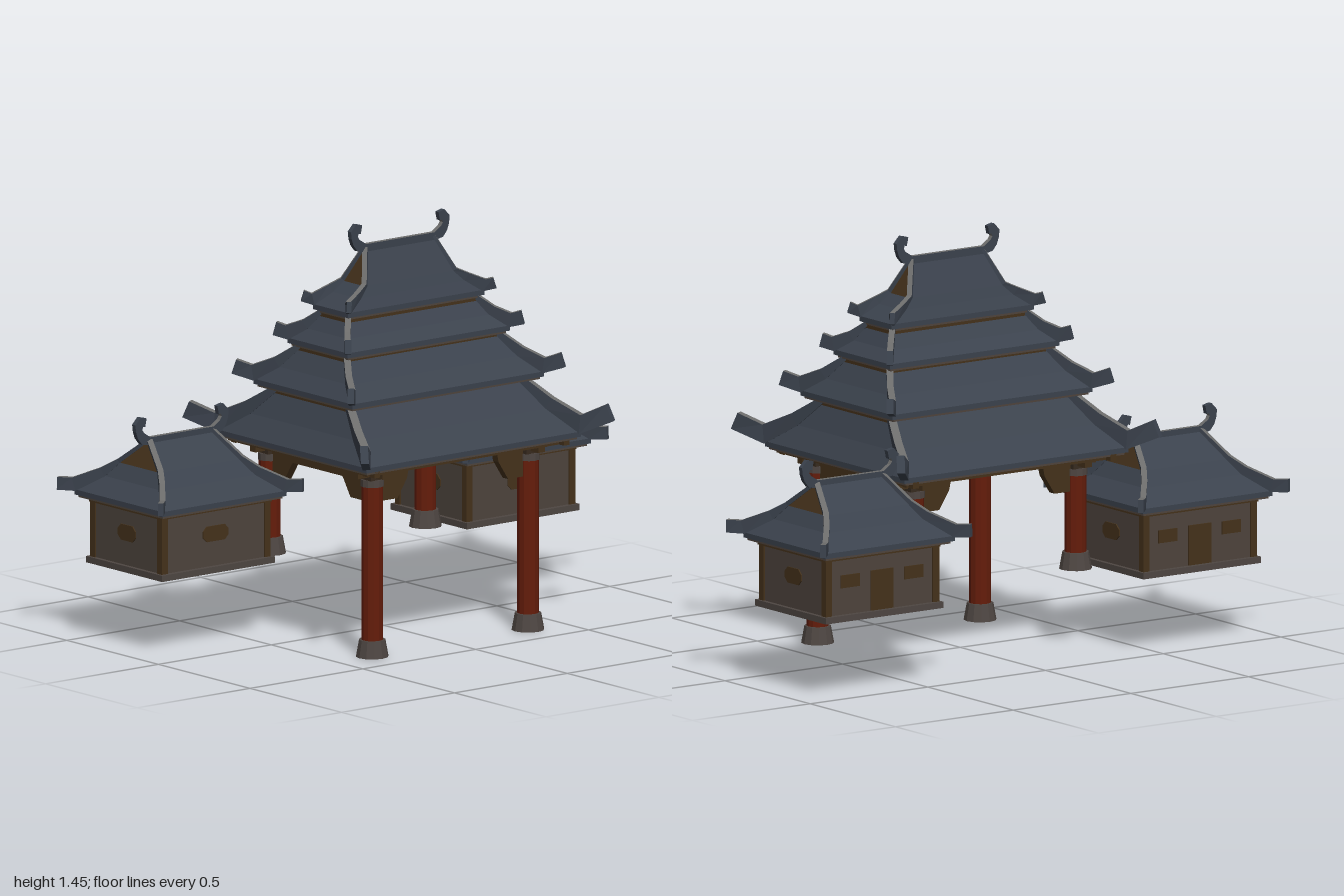
import * as THREE from 'three';

const mat = (name, color) => Object.assign(new THREE.MeshStandardMaterial({ color, flatShading: true }), { name });
const M = {
  tile: mat('slate tile', 0x3b424d),
  cap: mat('grey ridge cap', 0x6c6c6b),
  wood: mat('brown wood', 0x45321b),
  dark: mat('dark wood', 0x382b1f),
  wall: mat('plaster wall', 0x4e443d),
  stone: mat('stone', 0x4e4642),
  red: mat('red lacquer', 0x651d0b),
};
const V = (x, y, z) => new THREE.Vector3(x, y, z);

function add(parent, name, geo, material, x = 0, y = 0, z = 0) {
  const m = new THREE.Mesh(geo, material);
  m.name = name;
  m.position.set(x, y, z);
  parent.add(m);
  return m;
}
const box = (parent, name, material, w, h, d, x, y, z) =>
  add(parent, name, new THREE.BoxGeometry(w, h, d), material, x, y, z);

// Two-material mesh from lists of quads
function quadMesh(parent, name, lists, materials) {
  const pos = [], geo = new THREE.BufferGeometry();
  lists.forEach((quads, i) => {
    const start = pos.length / 3;
    for (const [a, b, c, d] of quads) for (const p of [a, b, c, a, c, d]) pos.push(p.x, p.y, p.z);
    geo.addGroup(start, pos.length / 3 - start, i);
  });
  geo.setAttribute('position', new THREE.Float32BufferAttribute(pos, 3));
  geo.computeVertexNormals();
  return add(parent, name, geo, materials);
}

// Rectangular bar swept along a path in a vertical plane, with a grey top
function bar(parent, name, path, dir, width, heights) {
  const side = dir.clone().cross(V(0, 1, 0)).normalize();
  const rings = path.map((p, i) => {
    const t = path[Math.min(i + 1, path.length - 1)].clone().sub(path[Math.max(i - 1, 0)]).normalize();
    const up = side.clone().cross(t);
    return [[1, 1], [-1, 1], [-1, -1], [1, -1]].map(([s, u]) =>
      p.clone().addScaledVector(side, s * width / 2).addScaledVector(up, u * heights[i] / 2));
  });
  const last = rings[rings.length - 1];
  const sides = [rings[0], [...last].reverse()], tops = [];
  for (let i = 0; i < rings.length - 1; i++) for (let k = 0; k < 4; k++) {
    const n = (k + 1) % 4;
    (k ? sides : tops).push([rings[i][k], rings[i + 1][k], rings[i + 1][n], rings[i][n]]);
  }
  quadMesh(parent, name, [sides, tops], [M.tile, M.cap]);
}

// Hipped roof from rectangles [halfX, halfZ, y]; a gabled one closes with brown ends
function roof(parent, name, rects, tip, thick, gabled) {
  const g = new THREE.Group();
  g.name = name;
  parent.add(g);
  const [ex, ez, ey] = rects[0];
  const levels = [[ex, ez, ey - 0.018], ...rects];
  const rings = levels.map(([x, z, y]) => [V(-x, y, z), V(x, y, z), V(x, y, -z), V(-x, y, -z)]);
  const tiles = [], ends = [];
  for (let i = 0; i < rings.length - 1; i++) for (let k = 0; k < 4; k++) {
    const n = (k + 1) % 4, gable = gabled && i === rings.length - 2 && k % 2;
    (gable ? ends : tiles).push([rings[i][k], rings[i][n], rings[i + 1][n], rings[i + 1][k]]);
  }
  quadMesh(g, 'roofTiles', [tiles, ends], [M.tile, M.wood]);
  box(g, 'soffit', M.wall, ex * 2 - 0.02, 0.018, ez * 2 - 0.02, 0, ey - 0.018, 0);

  // Hip ridges, tall at the corners, with upturned tips
  const [tx, tz, ty] = tip;
  const h = rects.map((r, i) => thick * [2.4, 1.7, 0.8, 0.6][i]);
  for (const sx of [-1, 1]) for (const sz of [-1, 1]) {
    const pts = [V(tx, ty, tz), ...rects.map(([x, z, y], i) => V(x, y + h[i] * 0.4, z))]
      .map(p => V(p.x * sx, p.y, p.z * sz));
    const end = rects[rects.length - 1];
    const dir = V((end[0] - tx) * sx, 0, (end[1] - tz) * sz);
    bar(g, 'hipRidge', pts, dir, thick, [thick * 2.3, ...h]);
  }

  // Top ridge with curled horns
  if (gabled) {
    const [rx, , ry] = rects[rects.length - 1];
    const horn = [[0.02, 0.07, 0.03], [0.038, 0.074, 0.036], [0.05, 0.06, 0.036], [0.05, 0.044, 0.028],
      [0.042, 0.026, 0.032], [0.028, 0.012, 0.038], [0, 0.002, 0.028]];
    const left = horn.map(([x, y]) => V(-rx - x, ry + y, 0));
    const right = horn.map(([x, y]) => V(rx + x, ry + y, 0)).reverse();
    const hh = horn.map(p => p[2]);
    bar(g, 'topRidge', [...left, ...right], V(1, 0, 0), 0.018, [...hh, ...[...hh].reverse()]);
  }
}

// Beam with a brace at each end; bump sets the depth of the scallops
function valance(parent, L, bottom, bump, x, z, turn) {
  const s = new THREE.Shape();
  s.moveTo(-L, 0.68);
  s.lineTo(-L, 0.545);
  s.lineTo(-L + 0.1, 0.545);
  s.lineTo(-L + 0.142, 0.61);
  s.lineTo(-L + 0.15, bottom);
  const n = 6, w = (2 * L - 0.3) / n;
  for (let i = 0; i < n; i++) {
    const a = -L + 0.15 + i * w;
    s.quadraticCurveTo(a + w / 2, bottom + bump, a + w, bottom);
  }
  s.lineTo(L - 0.142, 0.61);
  s.lineTo(L - 0.1, 0.545);
  s.lineTo(L, 0.545);
  s.lineTo(L, 0.68);
  const geo = new THREE.ExtrudeGeometry(s, { depth: 0.03, bevelEnabled: false, curveSegments: 4 });
  geo.translate(0, 0, -0.015);
  add(parent, 'bracedBeam', geo, M.wood, x, 0, z).rotation.y = turn;
}

function pillar(parent, x, z, foot) {
  const g = new THREE.Group();
  g.name = 'pillar';
  g.position.set(x, 0, z);
  parent.add(g);
  const cyl = (name, r1, r2, y0, y1, m) =>
    add(g, name, new THREE.CylinderGeometry(r1, r2, y1 - y0, 12), m, 0, (y0 + y1) / 2, 0);
  cyl('pillarFoot', 0.046, 0.057, foot, foot + 0.06, M.stone);
  cyl('pillarShaft', 0.038, 0.038, foot + 0.06, 0.605, M.red);
  cyl('pillarCollar', 0.041, 0.041, 0.6, 0.625, M.stone);
  box(g, 'bracketBlock', M.dark, 0.066, 0.055, 0.066, 0, 0.652, 0);
  box(g, 'bracketX', M.wood, 0.15, 0.03, 0.03, 0, 0.65, 0);
  box(g, 'bracketZ', M.wood, 0.03, 0.03, 0.15, 0, 0.65, 0);
}

function pavilion() {
  const g = new THREE.Group();
  g.name = 'pavilion';
  g.position.z = 0.08;
  for (const sx of [-1, 1]) {
    pillar(g, sx * 0.345, 0.28, 0);
    pillar(g, sx * 0.345, -0.28, 0.27);
    valance(g, 0.28, 0.612, 0, sx * 0.345, 0, Math.PI / 2);
    valance(g, 0.345, 0.645, 0.022, 0, sx * 0.28, 0);
    box(g, 'eaveBeam', M.wood, 0.025, 0.025, 0.8, sx * 0.42, 0.67, 0);
    box(g, 'eaveBeam', M.wood, 0.88, 0.025, 0.025, 0, 0.67, sx * 0.36);
  }
  box(g, 'ceiling', M.wall, 0.86, 0.02, 0.74, 0, 0.67, 0);
  // Stacked roofs, each on a low wall
  roof(g, 'firstRoof', [[0.475, 0.41, 0.7], [0.425, 0.3, 0.77], [0.38, 0.2, 0.86]], [0.545, 0.484, 0.77], 0.028);
  box(g, 'secondWall', M.wood, 0.77, 0.06, 0.41, 0, 0.855, 0);
  roof(g, 'secondRoof', [[0.425, 0.27, 0.895], [0.38, 0.195, 0.945], [0.335, 0.13, 1.015]], [0.47, 0.317, 0.938], 0.023);
  box(g, 'thirdWall', M.wood, 0.68, 0.05, 0.27, 0, 1.013, 0);
  roof(g, 'thirdRoof', [[0.36, 0.165, 1.048], [0.32, 0.115, 1.085], [0.285, 0.075, 1.138]], [0.386, 0.2, 1.08], 0.021);
  box(g, 'fourthWall', M.wood, 0.58, 0.04, 0.16, 0, 1.138, 0);
  roof(g, 'topRoof', [[0.302, 0.095, 1.17], [0.24, 0.075, 1.21], [0.2, 0.06, 1.245], [0.152, 0.004, 1.362]],
    [0.323, 0.127, 1.198], 0.018, true);
  return g;
}

// Thin window plate with cut corners
function windowPlate(parent, name, w, h, x, y, z, turn) {
  const c = h * 0.3, a = w / 2, b = h / 2;
  const shape = new THREE.Shape([[a, c - b], [a, b - c], [a - c, b], [c - a, b], [-a, b - c], [-a, c - b], [c - a, -b], [a - c, -b]]
    .map(([px, py]) => new THREE.Vector2(px, py)));
  const geo = new THREE.ExtrudeGeometry(shape, { depth: 0.006, bevelEnabled: false });
  geo.translate(0, 0, -0.003);
  add(parent, name, geo, M.wood, x, y, z).rotation.y = turn;
}

function house(sx) {
  const g = new THREE.Group();
  g.name = sx > 0 ? 'leftHouse' : 'rightHouse';
  g.position.set(sx * 0.675, 0, -0.28);
  for (const s of [-1, 1]) {
    // Walls round a room open below
    box(g, 'longWall', M.wall, 0.47, 0.22, 0.012, 0, 0.39, s * 0.184);
    box(g, 'endWall', M.wall, 0.012, 0.22, 0.38, s * 0.229, 0.39, 0);
    box(g, 'baseFrame', M.stone, 0.5, 0.022, 0.03, 0, 0.278, s * 0.193);
    box(g, 'baseFrame', M.stone, 0.03, 0.022, 0.41, s * 0.235, 0.278, 0);
    for (const t of [-1, 1]) box(g, 'cornerPost', M.wood, 0.026, 0.22, 0.026, s * 0.228, 0.39, t * 0.183);
    windowPlate(g, 'endWindow', 0.096, 0.056, s * 0.236, 0.403, 0, Math.PI / 2);
    box(g, 'backWindow', M.wood, 0.08, 0.045, 0.006, s * 0.135, 0.405, -0.191);
  }
  box(g, 'topBeam', M.wood, 0.488, 0.02, 0.398, 0, 0.492, 0);
  windowPlate(g, 'frontWindow', 0.112, 0.054, 0, 0.403, 0.191, 0);
  box(g, 'backDoor', M.wood, 0.095, 0.14, 0.006, 0, 0.36, -0.192);
  roof(g, 'houseRoof', [[0.275, 0.24, 0.522], [0.212, 0.16, 0.575], [0.18, 0.112, 0.625], [0.14, 0.004, 0.712]],
    [0.315, 0.281, 0.543], 0.02, true);
  return g;
}

export function createModel() {
  const model = new THREE.Group();
  model.name = 'templeGate';
  model.add(pavilion(), house(1), house(-1));
  return model;
}
